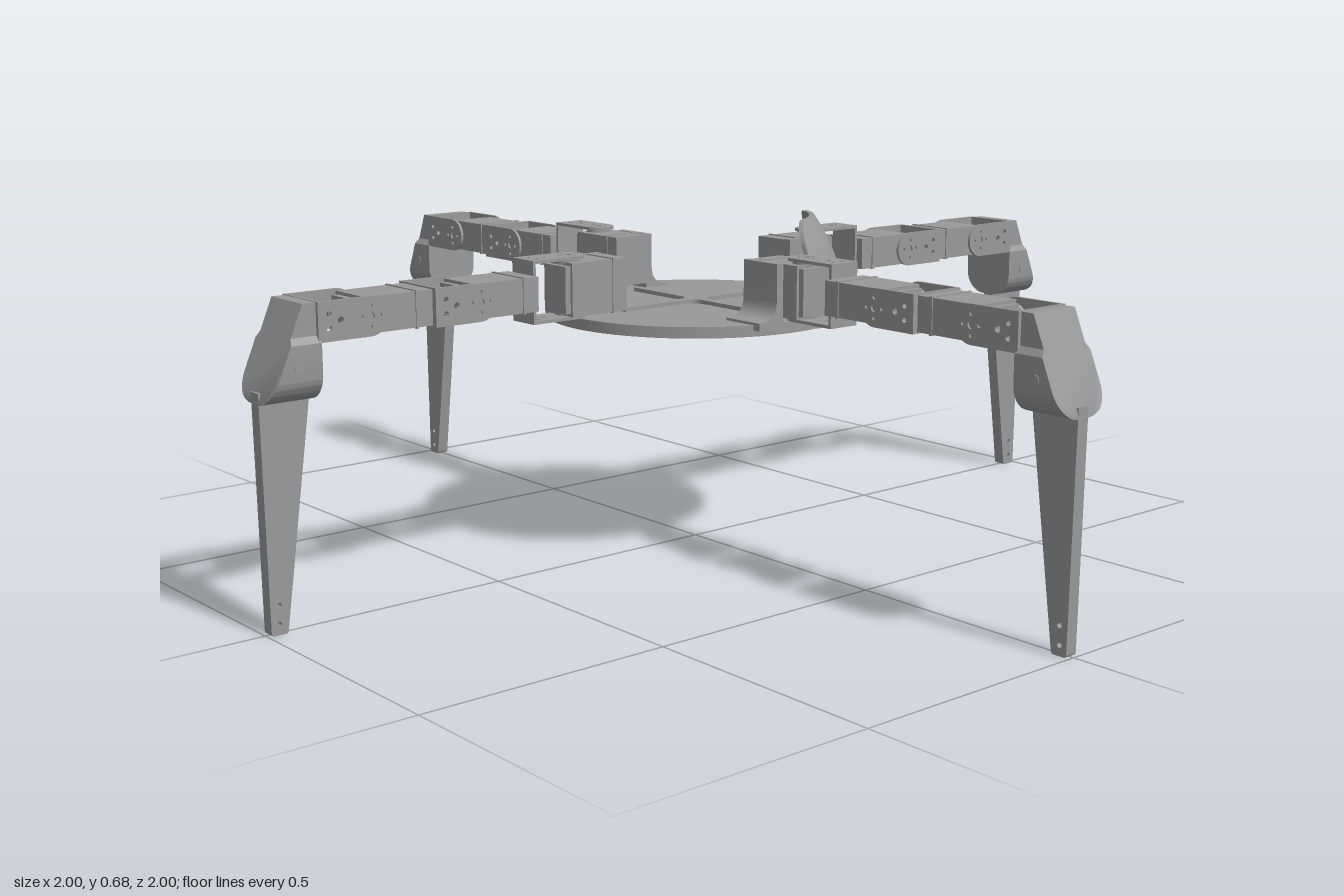
import * as THREE from 'three';
import { toCreasedNormals } from 'three/addons/utils/BufferGeometryUtils.js';

const grey = new THREE.MeshStandardMaterial({ color: 0x999999 });
grey.name = 'grey plastic';

function add(parent, name, geo) {
  const mesh = new THREE.Mesh(geo, grey);
  mesh.name = name;
  parent.add(mesh);
  return mesh;
}

// Box given by its lower and upper corners
function box(parent, name, x0, x1, y0, y1, z0, z1) {
  const mesh = add(parent, name, new THREE.BoxGeometry(x1 - x0, y1 - y0, z1 - z0));
  mesh.position.set((x0 + x1) / 2, (y0 + y1) / 2, (z0 + z1) / 2);
  return mesh;
}

function extrude(shape, depth, curveSegments = 8) {
  const geo = new THREE.ExtrudeGeometry(shape, { depth, curveSegments, bevelEnabled: false });
  return geo.translate(0, 0, -depth / 2);
}

function hole(shape, x, y, r) {
  const path = new THREE.Path();
  path.absarc(x, y, r, 0, Math.PI * 2, true);
  shape.holes.push(path);
}

// Bracket cheek: round at the pivot end, square at the wall end, drilled
function cheekGeometry(pivot, end, half) {
  const s = new THREE.Shape();
  s.moveTo(end, -half);
  s.lineTo(end, half);
  s.lineTo(pivot, half);
  s.absarc(pivot, 0, half, Math.PI / 2, Math.PI * 1.5, false);
  s.closePath();
  hole(s, pivot, 0, 0.008);
  for (let i = 0; i < 4; i++) {
    const a = i * Math.PI / 2;
    hole(s, pivot + 0.019 * Math.cos(a), 0.019 * Math.sin(a), 0.004);
  }
  for (const y of [-0.013, 0.013]) hole(s, end - 0.022, y, 0.005);
  hole(s, end - 0.045, 0, 0.006);
  return extrude(s, 0.006);
}

// C-shaped bracket around a pivot, opening toward -x, cheeks at z = +-gap
function bracket(name, pivot, end, half, gap) {
  const g = new THREE.Group();
  g.name = name;
  const cheek = cheekGeometry(pivot, end, half);
  for (const side of [-1, 1]) {
    add(g, 'cheek', cheek).position.z = side * (gap - 0.003);
    const horn = add(g, 'horn', new THREE.CylinderGeometry(0.025, 0.025, 0.012, 20));
    horn.rotation.x = Math.PI / 2;
    horn.position.set(pivot, 0, side * (gap - 0.01));
  }
  box(g, 'wall', end - 0.006, end, -half, half, -gap, gap);
  return g;
}

// Servo: main case with a raised lip and a stepped end cap
function servo(name, x0, x1, hy, hz) {
  const g = new THREE.Group();
  g.name = name;
  box(g, 'case', x0, x1 - 0.012, -hy, hy, -hz, hz);
  box(g, 'endCap', x1 - 0.012, x1, -hy + 0.006, hy - 0.006, -hz + 0.006, hz - 0.006);
  box(g, 'lip', x0 + 0.03, x0 + 0.036, -hy - 0.002, hy + 0.002, -hz - 0.002, hz + 0.002);
  return g;
}

// Curved-foot bracket that holds the hip servo on the plate
function hipMountGeometry() {
  const s = new THREE.Shape();
  s.moveTo(-0.04, 0.485);
  s.lineTo(-0.1, 0.485);
  s.lineTo(-0.1, 0.5);
  s.quadraticCurveTo(-0.056, 0.5, -0.056, 0.54);
  s.lineTo(-0.056, 0.61);
  s.lineTo(-0.04, 0.61);
  return toCreasedNormals(extrude(s, 0.095).rotateY(Math.PI / 2), 0.6).translate(0.258, 0, 0);
}

// Knee hood: rounded outline swept outward to a sloping face
function hoodGeometry() {
  const w = 0.063, n = 0.054, b = 0.42, r = 0.05;
  const s = new THREE.Shape();
  s.moveTo(-w + r, b);
  s.lineTo(w - r, b);
  s.absarc(w - r, b + r, r, -Math.PI / 2, 0, false);
  s.lineTo(w, 0.525);
  s.lineTo(n, 0.537);
  s.lineTo(n, 0.595);
  s.lineTo(-n, 0.595);
  s.lineTo(-n, 0.537);
  s.lineTo(-w, 0.525);
  s.lineTo(-w, b + r);
  s.absarc(-w + r, b + r, r, Math.PI, Math.PI * 1.5, false);
  const geo = new THREE.ExtrudeGeometry(s, { depth: 1, curveSegments: 10, bevelEnabled: false });
  geo.rotateY(Math.PI / 2);
  const p = geo.attributes.position;
  for (let i = 0; i < p.count; i++) {
    const outer = 1 - 0.42 * Math.max(0, p.getY(i) - 0.43);
    p.setX(i, 0.9 + p.getX(i) * (outer - 0.9));
  }
  geo.computeVertexNormals();
  return toCreasedNormals(geo, 0.5);
}

// Tapered shin blade
function shinGeometry() {
  const s = new THREE.Shape();
  s.moveTo(0.966, 0);
  s.lineTo(0.988, 0);
  s.quadraticCurveTo(0.994, 0, 0.994, 0.008);
  s.lineTo(1, 0.44);
  s.lineTo(0.902, 0.44);
  s.lineTo(0.902, 0.42);
  s.lineTo(0.96, 0.008);
  s.quadraticCurveTo(0.961, 0, 0.966, 0);
  hole(s, 0.978, 0.02, 0.005);
  hole(s, 0.977, 0.055, 0.005);
  return extrude(s, 0.026);
}

function createLeg() {
  const leg = new THREE.Group();
  const axis = 0.56;
  const put = (part, y = axis) => { part.position.y = y; leg.add(part); };

  add(leg, 'hipMount', hipMountGeometry());
  put(servo('hipServo', 0.21, 0.355, 0.052, 0.04), 0.557);
  const hip = bracket('hipBracket', 0.325, 0.43, 0.034, 0.061);
  hip.rotation.x = Math.PI / 2;
  put(hip);

  put(servo('thighServo', 0.43, 0.587, 0.033, 0.05));
  put(bracket('thighBracket', 0.568, 0.665, 0.036, 0.061));
  put(servo('kneeServo', 0.665, 0.817, 0.033, 0.05));
  put(bracket('kneeBracket', 0.8, 0.905, 0.036, 0.061));

  add(leg, 'kneeHood', hoodGeometry());
  for (const side of [-1, 1]) {
    const screw = add(leg, 'hoodScrew', new THREE.CylinderGeometry(0.01, 0.01, 0.003, 14));
    screw.rotation.x = Math.PI / 2;
    screw.position.set(0.945, 0.485, side * 0.063);
  }
  add(leg, 'shin', shinGeometry());
  return leg;
}

// Raised cross with rounded inner corners
function crossGeometry() {
  const h = 0.009, L = 0.19, f = 0.035;
  const s = new THREE.Shape();
  const v = (x, y, a) => new THREE.Vector2(x, y).rotateAround(new THREE.Vector2(), a);
  for (let i = 0; i < 4; i++) {
    const a = i * Math.PI / 2;
    const p = v(L, -h, a), q = v(L, h, a), m = v(f, h, a), c = v(h, h, a), e = v(h, f, a);
    if (i === 0) s.moveTo(p.x, p.y); else s.lineTo(p.x, p.y);
    s.lineTo(q.x, q.y);
    s.lineTo(m.x, m.y);
    s.quadraticCurveTo(c.x, c.y, e.x, e.y);
  }
  return extrude(s, 0.012).rotateX(-Math.PI / 2);
}

// Quarter dome shield with rounded upper corners, as closed loops
function shieldGeometry() {
  const cols = 40, rows = 14, base = 0.472, pos = [], index = [];
  const per = 2 * (rows + 1);
  const put = (u, v, inset) => {
    const d = Math.min(u, 1 - u) / 0.17;
    const drop = d < 1 ? 0.055 * (1 - Math.sqrt(1 - (1 - d) ** 2)) : 0;
    const h = (0.203 - drop) * v;
    const r = 0.305 * Math.sqrt(1 - (h / 0.33) ** 2);
    const a0 = Math.asin(0.06 / r);
    const a = a0 + u * (Math.PI / 2 - 2 * a0);
    pos.push((r - inset) * Math.cos(a), base + h, (r - inset) * Math.sin(a));
  };
  for (let c = 0; c <= cols; c++) {
    const u = (1 - Math.cos(Math.PI * c / cols)) / 2;
    for (let k = 0; k <= rows; k++) put(u, k / rows, 0);
    for (let k = rows; k >= 0; k--) put(u, k / rows, 0.01);
  }
  for (let c = 0; c < cols; c++) {
    for (let k = 0; k < per; k++) {
      const a = c * per + k, b = c * per + (k + 1) % per;
      index.push(a, b, a + per, b, b + per, a + per);
    }
  }
  // End edges of the shell
  for (let k = 0; k < rows; k++) {
    const a = k, b = k + 1, c = per - 2 - k, d = per - 1 - k, e = cols * per;
    index.push(a, d, b, b, d, c);
    index.push(e + a, e + b, e + d, e + b, e + c, e + d);
  }
  const geo = new THREE.BufferGeometry();
  geo.setAttribute('position', new THREE.Float32BufferAttribute(pos, 3));
  geo.setIndex(index);
  return toCreasedNormals(geo, 0.6);
}

export function createModel() {
  const model = new THREE.Group();
  model.name = 'fourLeggedRobot';

  // Body
  add(model, 'basePlate', new THREE.CylinderGeometry(0.305, 0.305, 0.022, 72)).position.y = 0.484;
  add(model, 'crossRib', crossGeometry()).position.y = 0.497;
  add(model, 'domeShield', shieldGeometry());

  // Legs, one per quarter turn
  ['leftLeg', 'backLeg', 'rightLeg', 'frontLeg'].forEach((name, i) => {
    const leg = createLeg();
    leg.name = name;
    leg.rotation.y = i * Math.PI / 2;
    model.add(leg);
  });
  return model;
}
